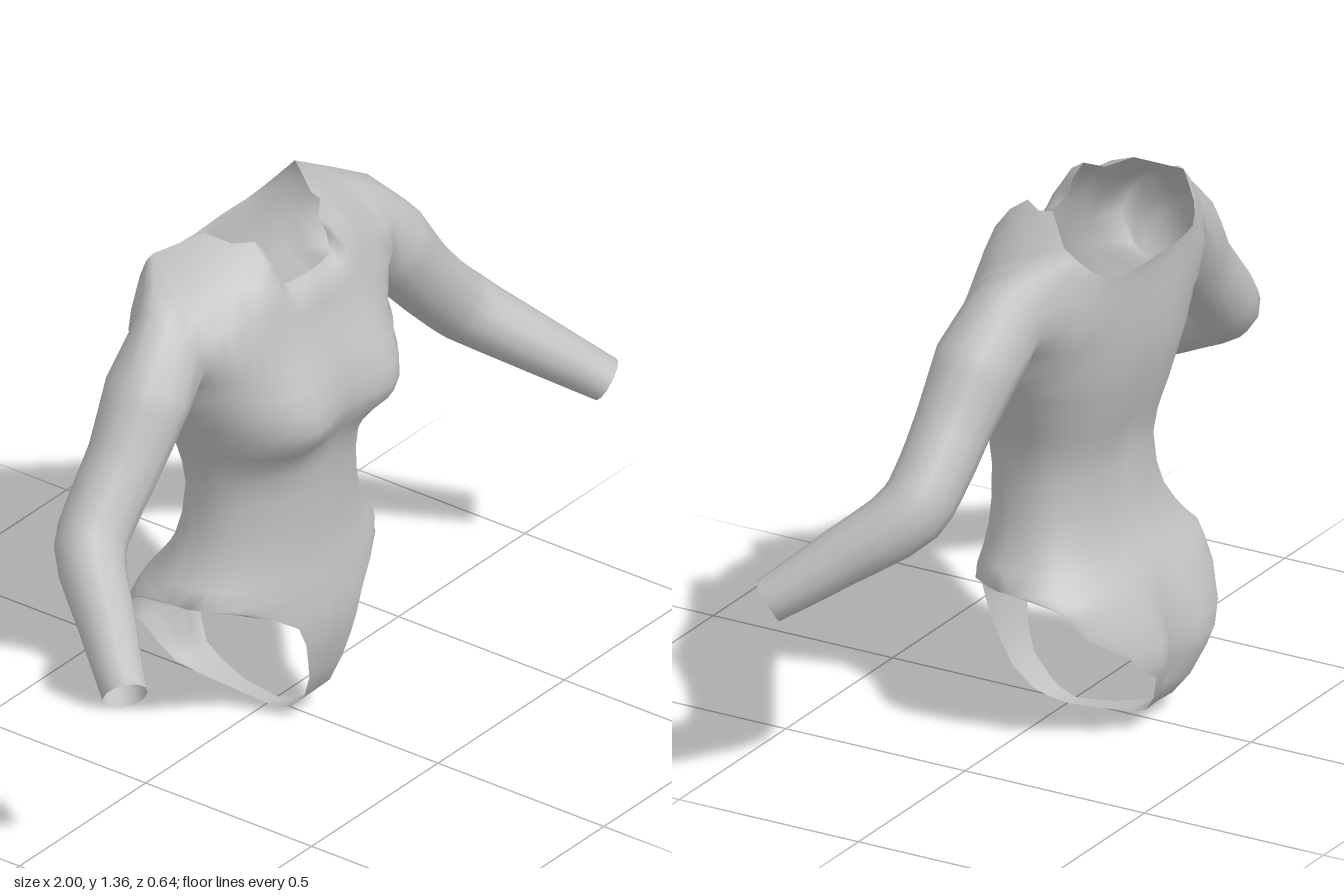
import * as THREE from 'three';
import { mergeVertices } from 'three/addons/utils/BufferGeometryUtils.js';

const COLS = 10;
const V = (x, y, z) => new THREE.Vector3(x, y, z);

// Trunk rows from hip to chest: y, half width, side z, front z, back z
const TRUNK = [
  [0.41, 0.348, -0.03, 0.178, -0.235],
  [0.45, 0.318, -0.025, 0.17, -0.205],
  [0.50, 0.285, -0.02, 0.165, -0.18],
  [0.57, 0.262, -0.01, 0.162, -0.165],
  [0.66, 0.25, -0.005, 0.165, -0.16],
  [0.73, 0.257, -0.01, 0.17, -0.172],
  [0.78, 0.27, -0.01, 0.178, -0.188],
  [0.82, 0.285, -0.015, 0.185, -0.2],
  [0.86, 0.30, -0.015, 0.195, -0.21],
  [0.90, 0.315, -0.02, 0.2, -0.22],
  [0.95, 0.34, -0.02, 0.2, -0.23],
  [1.00, 0.365, -0.02, 0.195, -0.235],
];
// Panels below the hip, crotch upward: y, half width, side z, centre z
const FRONT_PANEL = [
  [0, 0.02, 0, 0], [0.012, 0.03, 0.05, 0.05], [0.03, 0.04, 0.085, 0.085], [0.08, 0.05, 0.13, 0.135],
  [0.15, 0.065, 0.1, 0.163], [0.21, 0.085, 0, 0.178], [0.26, 0.1, -0.03, 0.188],
  [0.315, 0.125, -0.03, 0.19], [0.36, 0.19, -0.03, 0.185], [0.39, 0.26, -0.03, 0.18],
];
const BACK_PANEL = [
  [0, 0.02, 0, 0], [0.01, 0.025, -0.1, -0.1], [0.03, 0.045, -0.19, -0.19], [0.05, 0.06, -0.1, -0.245],
  [0.1, 0.085, -0.03, -0.285], [0.17, 0.12, -0.03, -0.316], [0.2, 0.17, -0.03, -0.32],
  [0.25, 0.21, -0.03, -0.318], [0.31, 0.295, -0.03, -0.295], [0.36, 0.31, -0.03, -0.268],
  [0.39, 0.335, -0.03, -0.247],
];
// Neckline followed by the shoulder seam
const SEAM = [[0.28, 1.315, -0.145], [0.35, 1.285, -0.09], [0.43, 1.245, -0.04]];
const FRONT_TOP = [
  [0, 1.23, 0.115], [0.05, 1.23, 0.112], [0.1, 1.23, 0.1], [0.115, 1.27, 0.075], [0.105, 1.31, 0.06],
  [0.13, 1.345, 0.045], [0.155, 1.335, 0], [0.19, 1.36, -0.06], ...SEAM,
];
const BACK_TOP = [
  [0, 1.21, -0.232], [0.05, 1.21, -0.235], [0.1, 1.212, -0.235], [0.15, 1.215, -0.232], [0.19, 1.22, -0.225],
  [0.22, 1.235, -0.212], [0.245, 1.255, -0.195], [0.265, 1.285, -0.17], ...SEAM,
];

const bell = (d, s) => Math.exp(-(d * d) / (2 * s * s));

// Bust swelling, fuller above and tucked in below
function bust(x, y) {
  const sy = y < 0.89 ? 0.065 : 0.11;
  return 0.085 * bell(y - 0.89, sy) * (bell(x - 0.17, 0.095) + bell(x + 0.17, 0.095));
}
// Groove along the spine and between the buttocks
function groove(x, y) {
  const low = y < 0.2 ? THREE.MathUtils.smoothstep(y, 0.02, 0.15) : 1 - THREE.MathUtils.smoothstep(y, 0.25, 0.46);
  return 0.045 * low * bell(x, 0.035) + 0.014 * THREE.MathUtils.smoothstep(y, 0.5, 0.8) * bell(x, 0.05);
}

// One half row of the front or back: W is the full body width the curve follows
function row(front, y, e, W, zs, zc, k, linear) {
  return Array.from({ length: COLS + 1 }, (_, j) => {
    const u = j / COLS;
    const x = e * THREE.MathUtils.lerp(Math.sin(u * Math.PI / 2), u, linear);
    const curve = Math.pow(Math.max(0, 1 - (x / W) ** 2), k / 2);
    const detail = (front ? bust(x, y) : groove(x, y)) * Math.min(1, 4 * curve * curve);
    return V(x, y, zs + (zc - zs) * curve + (j === COLS ? 0 : detail));
  });
}

// Half of the front or back sheet, crotch to shoulder seam
function sheet(front) {
  const rows = [];
  for (const [y, e, zs, zc] of front ? FRONT_PANEL : BACK_PANEL) {
    rows.push(row(front, y, e, 0.355, zs, zc, front ? 1 : 0.6, 0));
  }
  for (const [y, w, zs, zf, zb] of TRUNK) {
    rows.push(row(front, y, w, w, zs, front ? zf : zb, front ? 0.95 : 0.8, y > 0.98 ? 0.5 : 0));
  }
  const armpit = rows.length - 1;
  // Chest beside the armholes
  rows.push(front ? row(true, 1.05, 0.365, 0.365, 0.05, 0.185, 1.4, 1) : row(false, 1.05, 0.365, 0.365, -0.1, -0.238, 1, 1));
  rows.push(front ? row(true, 1.12, 0.375, 0.375, 0.085, 0.165, 1.7, 1) : row(false, 1.12, 0.375, 0.375, -0.14, -0.238, 1.2, 1));
  // Curve over the shoulders to the neckline and seam
  const base = rows[rows.length - 1];
  const top = (front ? FRONT_TOP : BACK_TOP).map((p) => V(...p));
  for (const f of [0.25, 0.5, 0.75, 1]) {
    rows.push(base.map((a, j) => {
      const b = top[j];
      const c = V((a.x + b.x) / 2, THREE.MathUtils.lerp(a.y, b.y, 0.82), THREE.MathUtils.lerp(a.z, b.z, 0.17));
      return new THREE.QuadraticBezierCurve3(a, c, b).getPoint(f);
    }));
  }
  return { rows, armhole: rows.slice(armpit).map((r) => r[COLS]) };
}

// Sleeve rings, the first of them being the armhole itself
function sleeve(armhole) {
  const path = new THREE.CatmullRomCurve3([
    V(0.465, 1.06, -0.018), V(0.57, 0.93, -0.008), V(0.655, 0.84, -0.005),
    V(0.735, 0.76, 0.012), V(0.845, 0.652, 0.145), V(0.952, 0.548, 0.282),
  ]);
  const radii = [0.108, 0.094, 0.09, 0.088, 0.072, 0.056];
  const rings = [armhole];
  const steps = 15;
  for (let i = 0; i <= steps; i++) {
    const s = (i / steps) * (radii.length - 1);
    const n = Math.min(Math.floor(s), radii.length - 2);
    const r = THREE.MathUtils.lerp(radii[n], radii[n + 1], s - n);
    const c = path.getPoint(i / steps);
    const t = path.getTangent(i / steps);
    const under = V(-0.7, -0.7, 0);
    under.addScaledVector(t, -under.dot(t)).normalize();
    const fore = under.clone().cross(t);
    rings.push(armhole.map((_, j) => {
      const a = (j / armhole.length) * Math.PI * 2;
      return c.clone().addScaledVector(under, r * Math.cos(a)).addScaledVector(fore, r * Math.sin(a));
    }));
  }
  return rings.map((ring) => [...ring, ring[0]]);
}

export function createModel() {
  const positions = [];
  const index = [];
  // Adds a grid of points and its mirror image
  function addGrid(rows, flip) {
    for (const side of [1, -1]) {
      const start = positions.length / 3;
      const n = rows[0].length;
      for (const r of rows) for (const p of r) positions.push(p.x * side, p.y, p.z);
      for (let i = 0; i < rows.length - 1; i++) {
        for (let j = 0; j < n - 1; j++) {
          const a = start + i * n + j, b = a + 1, c = a + n, d = c + 1;
          if (flip === (side > 0)) index.push(a, c, b, b, c, d);
          else index.push(a, b, c, b, d, c);
        }
      }
    }
  }

  const front = sheet(true);
  const back = sheet(false);
  addGrid(front.rows, false);
  addGrid(back.rows, true);
  // Armhole loop: armpit, up the front, over the shoulder, down the back
  addGrid(sleeve([...front.armhole, ...back.armhole.slice(1, -1).reverse()]), true);

  let geometry = new THREE.BufferGeometry();
  geometry.setAttribute('position', new THREE.Float32BufferAttribute(positions, 3));
  geometry.setIndex(index);
  geometry = mergeVertices(geometry, 1e-4);
  geometry.computeVertexNormals();

  const fabric = new THREE.MeshStandardMaterial({ color: 0xc0c0c0, side: THREE.DoubleSide });
  fabric.name = 'grey fabric';
  const suit = new THREE.Mesh(geometry, fabric);
  suit.name = 'longSleevedBodysuit';
  const group = new THREE.Group();
  group.name = 'bodysuit';
  group.add(suit);
  return group;
}
